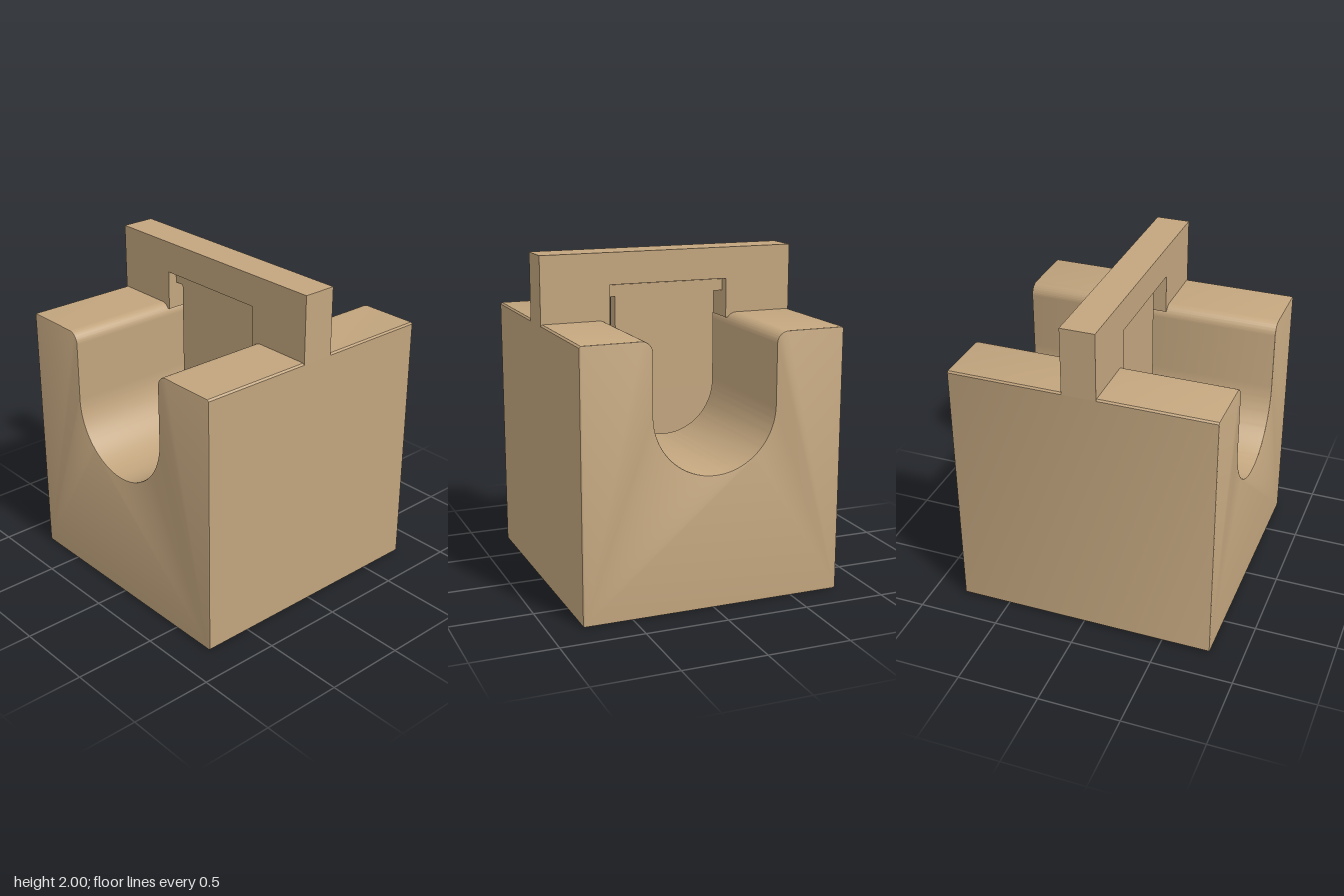
import * as THREE from 'three';
import { toCreasedNormals } from 'three/addons/utils/BufferGeometryUtils.js';

const tan = new THREE.MeshStandardMaterial({ color: 0xc2a57e });
tan.name = 'tan';

// Extrude a (z, y) profile along x, centred on x = 0
function slab(name, shape, width, bevel = 0) {
  const depth = width - 2 * bevel;
  const extruded = new THREE.ExtrudeGeometry(shape, {
    depth, curveSegments: 32, bevelEnabled: bevel > 0,
    bevelSize: bevel, bevelThickness: bevel, bevelOffset: -bevel, bevelSegments: 2,
  });
  extruded.translate(0, 0, -depth / 2);
  extruded.rotateY(Math.PI / 2);
  const mesh = new THREE.Mesh(toCreasedNormals(extruded, 0.6), tan);
  mesh.name = name;
  return mesh;
}

const polygon = (points) => new THREE.Shape(points.map(([z, y]) => new THREE.Vector2(z, y)));

export function createModel() {
  const model = new THREE.Group();
  model.name = 'slottedBlock';
  const PI = Math.PI;
  const half = 0.8, slot = 0.375, slotY = 1.175, fillet = 0.07, edge = 0.01;
  const filletY = 1.6 - fillet;

  // Block with a round-bottomed channel and rounded channel lips
  const block = new THREE.Shape();
  block.moveTo(-half + edge, 0);
  block.lineTo(half - edge, 0);
  block.lineTo(half, edge);
  block.lineTo(half, 1.6 - edge);
  block.lineTo(half - edge, 1.6);
  block.lineTo(slot + fillet, 1.6);
  block.absarc(slot + fillet, filletY, fillet, PI / 2, PI, false);
  block.lineTo(slot, slotY);
  block.absarc(0, slotY, slot, 0, -PI, true);
  block.lineTo(-slot, filletY);
  block.absarc(-slot - fillet, filletY, fillet, 0, PI / 2, false);
  block.lineTo(-half + edge, 1.6);
  block.lineTo(-half, 1.6 - edge);
  block.lineTo(-half, edge);
  model.add(slab('block', block, 1.6, 0.008));

  // Bridge across the channel, notched underneath
  const side = [[half, 2], [half, 1.59], [0.6, 1.59], [0.6, 1.57], [slot, 1.57], [slot, 1.81]];
  const mirrored = side.map(([z, y]) => [-z, y]).reverse();
  model.add(slab('bridge', polygon([...side, ...mirrored].reverse()), 0.206));

  // Loose gate hanging in the channel, with a wider head
  const gate = new THREE.Shape();
  gate.moveTo(0.32, 1.73);
  gate.lineTo(-0.32, 1.73);
  gate.lineTo(-0.32, slotY);
  gate.absarc(0, slotY, 0.32, PI, 2 * PI, false);
  model.add(slab('gate', gate, 0.08));
  model.add(slab('gateHead', polygon([[-slot, 1.73], [slot, 1.73], [slot, 1.8], [-slot, 1.8]]), 0.09));

  return model;
}
